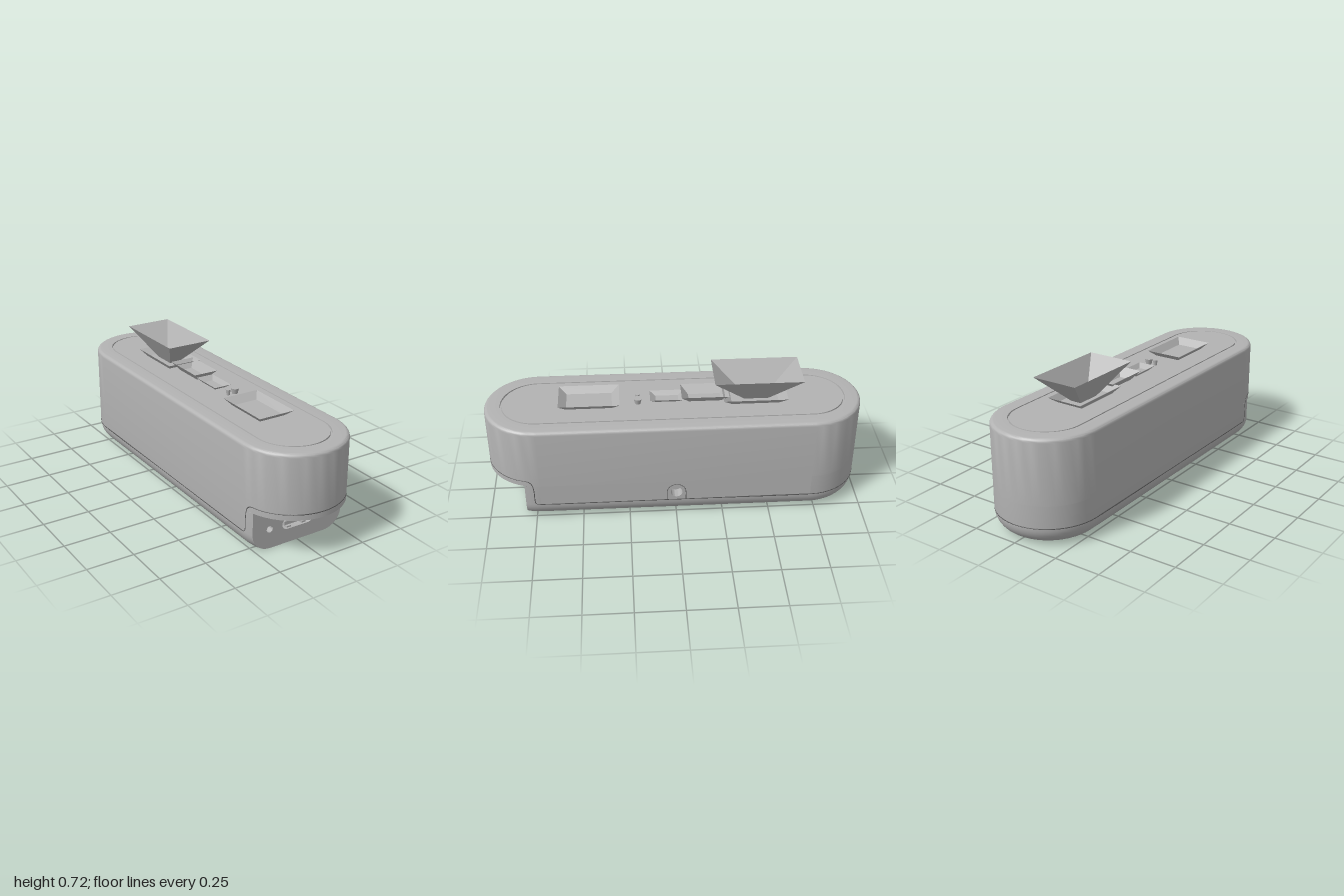
import * as THREE from 'three';
import { toCreasedNormals } from 'three/addons/utils/BufferGeometryUtils.js';

const R = 0.28, CZ = 0.72, FRONT = 0.8, H = 12;

const grey = new THREE.MeshStandardMaterial({ color: 0xb2b2b2, side: THREE.DoubleSide });
grey.name = 'casing grey';
const dark = new THREE.MeshStandardMaterial({ color: 0x5c5c5c });
dark.name = 'seam grey';

function add(parent, name, geometry, material = grey) {
  const mesh = new THREE.Mesh(geometry, material);
  mesh.name = name;
  parent.add(mesh);
  return mesh;
}

// Stadium outline [x, z] of radius r, optionally cut flat at the front
function outline(r, cut) {
  const a0 = cut ? Math.asin((FRONT - CZ) / r) : Math.PI / 2;
  const pts = [];
  const put = (a, cz) => pts.push([r * Math.cos(a), cz + r * Math.sin(a)]);
  for (let i = 0; i <= H; i++) put(a0 * i / H, CZ);
  for (let i = 0; i <= H; i++) put(Math.PI - a0 * (1 - i / H), CZ);
  for (let i = 0; i <= 2 * H; i++) put(Math.PI * (1 + i / (2 * H)), -CZ);
  return pts;
}

// Skin a stack of [inset, y] levels; openSide(k) leaves out the flat +x wall
function loft(levels, cut, capTop, openSide = () => false) {
  const loops = levels.map(([inset, y]) => outline(R - inset, cut).map(([x, z]) => [x, y, z]));
  const n = loops[0].length, pos = [];
  for (let k = 0; k < loops.length - 1; k++) {
    for (let j = 0; j < n; j++) {
      if (j === H || (j === n - 1 && openSide(k))) continue;
      const [lo, hi, m] = [loops[k], loops[k + 1], (j + 1) % n];
      pos.push(...lo[j], ...hi[j], ...hi[m], ...lo[j], ...hi[m], ...lo[m]);
    }
  }
  if (capTop) {
    const top = loops[loops.length - 1], c = [0, top[0][1], 0];
    for (let j = 0; j < n; j++) if (j !== H) pos.push(...c, ...top[(j + 1) % n], ...top[j]);
  }
  const g = new THREE.BufferGeometry();
  g.setAttribute('position', new THREE.Float32BufferAttribute(pos, 3));
  g.computeVertexNormals();
  return toCreasedNormals(g, 0.5);
}

// Rounded slot; a circle when h is 0
function slot(Type, x, y, h, r) {
  const p = new Type();
  p.absarc(x + h, y, r, -Math.PI / 2, Math.PI / 2);
  p.absarc(x - h, y, r, Math.PI / 2, Math.PI * 1.5);
  return p;
}

// Flat panel with sunken sockets {x, y, h, r, wall, depth}
function panel(name, shape, sockets) {
  const group = new THREE.Group();
  group.name = name;
  for (const s of sockets) {
    shape.holes.push(slot(THREE.Path, s.x, s.y, s.h, s.r));
    const ring = slot(THREE.Shape, s.x, s.y, s.h, s.r);
    ring.holes.push(slot(THREE.Path, s.x, s.y, s.h, s.r - s.wall));
    const sleeve = new THREE.ExtrudeGeometry(ring, { depth: s.depth, bevelEnabled: false, curveSegments: 16 });
    add(group, 'socketSleeve', toCreasedNormals(sleeve, 0.5)).position.z = -s.depth;
    const floor = new THREE.ShapeGeometry(slot(THREE.Shape, s.x, s.y, s.h, s.r), 16);
    add(group, 'socketFloor', floor).position.z = -s.depth;
  }
  add(group, 'panelFace', new THREE.ShapeGeometry(shape, 16));
  return group;
}

// Open rectangular flare with a floor; lower and upper are [halfX, halfZ, y]
function flare(lower, upper) {
  const corners = ([x, z, y]) => [[x, y, z], [x, y, -z], [-x, y, -z], [-x, y, z]];
  const a = corners(lower), b = corners(upper), pos = [];
  for (let i = 0; i < 4; i++) {
    const j = (i + 1) % 4;
    pos.push(...a[i], ...a[j], ...b[j], ...a[i], ...b[j], ...b[i]);
  }
  pos.push(...a[0], ...a[1], ...a[2], ...a[0], ...a[2], ...a[3]);
  const g = new THREE.BufferGeometry();
  g.setAttribute('position', new THREE.Float32BufferAttribute(pos, 3));
  g.computeVertexNormals();
  return g;
}

function seam(parent, name, pts, closed) {
  const curve = new THREE.CatmullRomCurve3(pts, closed);
  add(parent, name, new THREE.TubeGeometry(curve, closed ? 300 : 50, 0.004, 6, closed), dark);
}

export function createModel() {
  const model = new THREE.Group();
  model.name = 'sensorModule';

  // Base tray with a rounded lower edge and a flat front
  const base = [];
  for (let i = 0; i <= 10; i++) {
    const t = i / 10 * Math.PI / 2;
    base.push([0.1 * (1 - Math.sin(t)), 0.1 * (1 - Math.cos(t))]);
  }
  base.push([0, 0.22]);
  add(model, 'baseTray', loft(base, true, false, k => k === 10));

  // Underside with two screw holes
  const under = panel('underside',
    new THREE.Shape(outline(R - 0.1, true).map(([x, z]) => new THREE.Vector2(x, z))),
    [-0.49, 0.47].map(z => ({ x: 0, y: z, h: 0, r: 0.032, wall: 0.006, depth: 0.04 })));
  under.rotation.x = Math.PI / 2;
  model.add(under);

  // Front wall with connector slot and two screw holes
  const edge = base.map(([inset, y]) =>
    new THREE.Vector2(Math.sqrt((R - inset) ** 2 - (FRONT - CZ) ** 2), y));
  const mirrored = edge.map(p => new THREE.Vector2(-p.x, p.y)).reverse();
  const front = panel('frontWall', new THREE.Shape([...edge, ...mirrored]), [
    { x: 0, y: 0.105, h: 0.063, r: 0.037, wall: 0.007, depth: 0.07 },
    ...[-0.168, 0.168].map(x => ({ x, y: 0.105, h: 0, r: 0.022, wall: 0.004, depth: 0.04 })),
  ]);
  front.position.z = FRONT;
  model.add(front);
  add(front, 'connectorTongue', new THREE.BoxGeometry(0.15, 0.02, 0.06)).position.set(0, 0.105, -0.036);
  for (const x of [-0.045, 0.045]) for (const y of [0.079, 0.131])
    add(front, 'contactSpring', new THREE.BoxGeometry(0.026, 0.008, 0.05)).position.set(x, y, -0.035);

  // Side wall with the round port
  const wall = new THREE.Shape();
  wall.moveTo(-CZ, 0.1).lineTo(CZ, 0.1).lineTo(CZ, 0.22).lineTo(-CZ, 0.22);
  const side = panel('sideWall', wall, [{ x: 0, y: 0.15, h: 0, r: 0.037, wall: 0.006, depth: 0.06 }]);
  side.rotation.y = Math.PI / 2;
  side.position.x = R;
  model.add(side);

  // Upper shell: rounded top edge and a groove around the lid
  const shell = [[0, 0.22]];
  for (let i = 0; i <= 5; i++) {
    const t = i / 5 * Math.PI / 2;
    shell.push([0.02 * (1 - Math.cos(t)), 0.54 + 0.02 * Math.sin(t)]);
  }
  shell.push([0.084, 0.56], [0.085, 0.55], [0.091, 0.55], [0.092, 0.56]);
  add(model, 'upperShell', loft(shell, false, true));
  const lip = new THREE.ShapeGeometry(
    new THREE.Shape(outline(R, false).map(([x, z]) => new THREE.Vector2(x, z))));
  lip.rotateX(Math.PI / 2);
  add(model, 'overhangUnderside', lip).position.y = 0.22;

  // Parting line: under the overhang, down both sides, around the back
  const at = (a, y, cz = CZ) => new THREE.Vector3((R - 0.003) * Math.cos(a), y, cz + (R - 0.003) * Math.sin(a));
  const corner = [[0, 0.1], [0.09, 0.101], [0.11, 0.12], [0.12, 0.2], [0.16, 0.238], [0.24, 0.25]];
  const line = corner.map(([a, y]) => at(a, y));
  for (let i = 1; i < 16; i++) line.push(at(0.24 + (Math.PI - 0.48) * i / 16, 0.25));
  line.push(...corner.map(([a, y]) => at(Math.PI - a, y)).reverse());
  line.push(at(Math.PI, 0.1, 0));
  for (let i = 0; i <= 16; i++) line.push(at(Math.PI * (1 + i / 16), 0.1, -CZ));
  line.push(at(0, 0.1, 0));
  seam(model, 'partingLine', line, true);

  // Arched outline around the side port
  const arch = [new THREE.Vector3(R - 0.003, 0.1, 0.05)];
  for (let i = 0; i <= 12; i++) {
    const a = Math.PI * i / 12;
    arch.push(new THREE.Vector3(R - 0.003, 0.15 + 0.05 * Math.sin(a), 0.05 * Math.cos(a)));
  }
  arch.push(new THREE.Vector3(R - 0.003, 0.1, -0.05));
  seam(model, 'portArch', arch, false);

  // Flared sensor windows along the lid: [name, z, lower, upper]
  const flares = [
    ['frontWindow', 0.447, [0.073, 0.12, 0.562], [0.103, 0.16, 0.595]],
    ['smallWindow', 0.035, [0.03, 0.06, 0.562], [0.05, 0.09, 0.583]],
    ['middleWindow', -0.165, [0.035, 0.085, 0.562], [0.07, 0.125, 0.605]],
    ['rearWindow', -0.43, [0.075, 0.125, 0.562], [0.1, 0.17, 0.594]],
    ['tallFunnel', -0.44, [0.03, 0.065, 0.564], [0.127, 0.232, 0.717]],
  ];
  for (const [name, z, lower, upper] of flares) add(model, name, flare(lower, upper)).position.z = z;

  // Two tiny flared pegs
  for (const [x, r] of [[-0.01, 0.013], [0.032, 0.022]])
    add(model, 'flaredPeg', new THREE.CylinderGeometry(r, r * 0.65, 0.032, 20)).position.set(x, 0.574, 0.19);

  return model;
}
